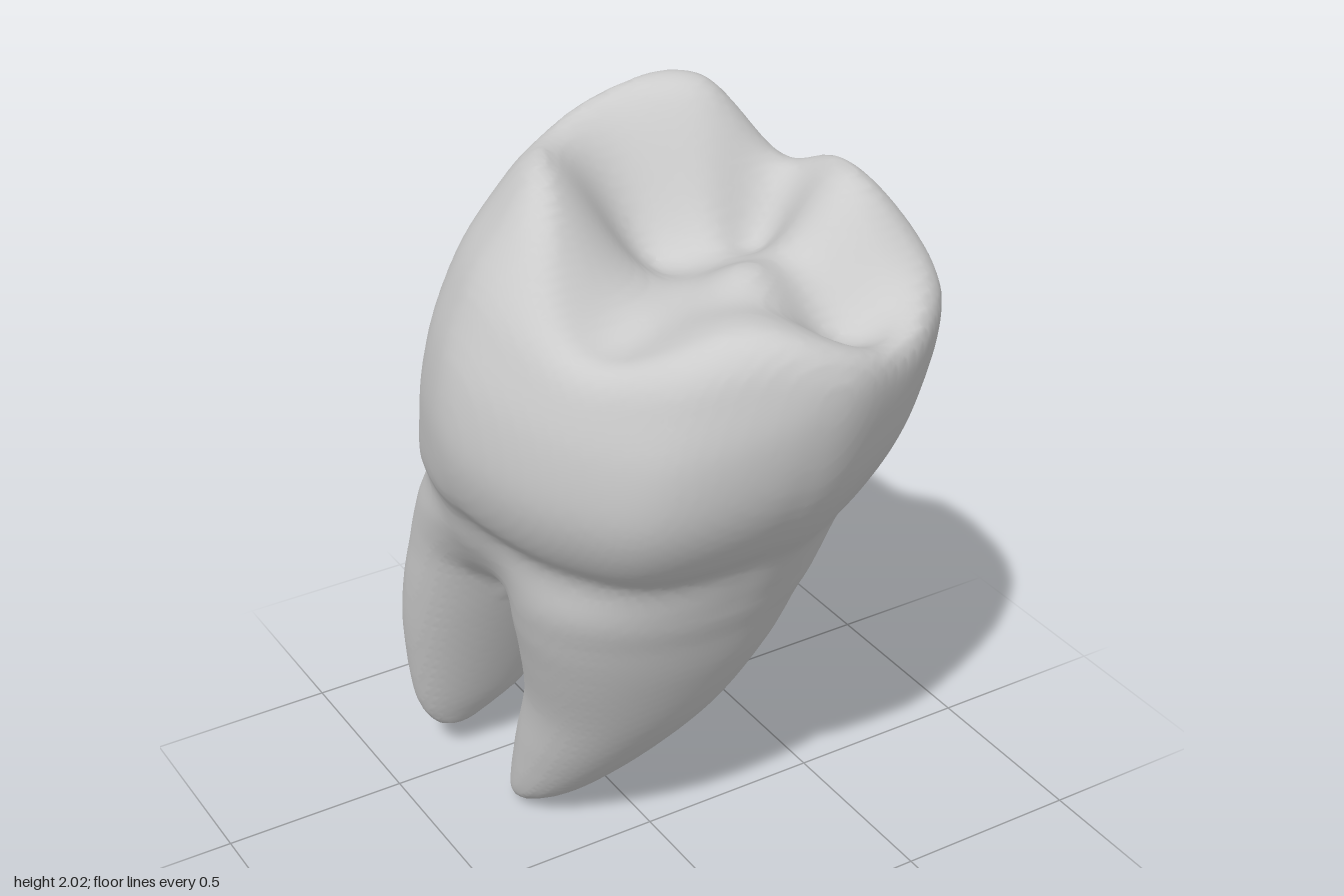
import * as THREE from 'three';

// Turn rows of measurements (first entry y) into a smooth lookup by height
function sections(rows) {
  const at = (i) => rows[Math.min(Math.max(i, 0), rows.length - 1)];
  const fine = [];
  for (let i = 0; i < rows.length - 1; i++) {
    for (let t = 0; t < 1; t += 0.125) {
      fine.push(at(i).map((p1, c) => {
        const p0 = at(i - 1)[c], p2 = at(i + 1)[c], p3 = at(i + 2)[c];
        return p1 + 0.5 * t * (p2 - p0 + t * (2 * p0 - 5 * p1 + 4 * p2 - p3 + t * (3 * (p1 - p2) + p3 - p0)));
      }));
    }
  }
  fine.push(at(rows.length));
  return (y) => {
    let i = 0;
    while (i < fine.length - 2 && fine[i + 1][0] < y) i++;
    const a = fine[i], b = fine[i + 1];
    const t = THREE.MathUtils.clamp((y - a[0]) / (b[0] - a[0]), 0, 1);
    const [, x0, x1, z0, z1, skew] = a.map((v, c) => v + (b[c] - v) * t);
    return {
      cx: (x0 + x1) / 2, rx: (x1 - x0) / 2, cz: (z0 + z1) / 2, rz: (z1 - z0) / 2, skew,
      beyond: Math.max(fine[0][0] - y, y - fine[fine.length - 1][0]),
    };
  };
}

// Rows: y, x min, x max, z min, z max, sideways skew
const frontRoot = sections([
  [0, -0.24, -0.16, -0.315, -0.26, 0],
  [0.04, -0.275, -0.1, -0.325, -0.19, 0],
  [0.11, -0.287, -0.03, -0.33, -0.1, 0],
  [0.26, -0.297, 0.1, -0.32, 0.035, 0],
  [0.45, -0.31, 0.225, -0.28, 0.175, 0],
  [0.65, -0.36, 0.31, -0.24, 0.285, 0],
  [0.8, -0.4, 0.355, -0.22, 0.35, 0],
  [0.95, -0.42, 0.395, -0.2, 0.405, 0],
  [1.15, -0.38, 0.36, -0.15, 0.4, 0],
]);
const backRoot = sections([
  [0.09, -0.33, -0.24, -0.605, -0.55, 0],
  [0.14, -0.37, -0.15, -0.65, -0.52, 0],
  [0.23, -0.4, -0.05, -0.68, -0.47, 0],
  [0.44, -0.435, 0.04, -0.68, -0.375, 0],
  [0.6, -0.45, 0.1, -0.655, -0.3, 0],
  [0.76, -0.455, 0.17, -0.61, -0.22, 0],
  [0.97, -0.45, 0.23, -0.535, -0.1, 0],
  [1.18, -0.34, 0.2, -0.42, 0, 0],
]);
const crown = sections([
  [0.72, -0.22, 0.08, -0.36, -0.12, 0.02],
  [0.82, -0.36, 0.25, -0.48, 0.18, 0.06],
  [0.95, -0.44, 0.37, -0.525, 0.375, 0.07],
  [1.08, -0.485, 0.45, -0.51, 0.475, 0.05],
  [1.18, -0.54, 0.49, -0.48, 0.555, 0.03],
  [1.3, -0.57, 0.535, -0.45, 0.625, 0.01],
  [1.42, -0.577, 0.56, -0.435, 0.668, 0],
  [1.56, -0.555, 0.577, -0.415, 0.692, 0],
  [1.68, -0.51, 0.572, -0.395, 0.685, 0],
  [1.77, -0.465, 0.545, -0.375, 0.66, -0.01],
  [1.87, -0.39, 0.49, -0.35, 0.59, -0.03],
  [1.95, -0.32, 0.43, -0.325, 0.45, -0.04],
  [2.05, -0.24, 0.36, -0.27, 0.25, -0.04],
]);

// Outline of the crown as a radius for each angle, in units of its half width and depth
const BINS = 120;
const outline = new Array(BINS).fill(1);
const outlineCurve = new THREE.CatmullRomCurve3([
  [0.575, 0.2], [0.53, 0.42], [0.4, 0.55], [0.25, 0.63], [0.07, 0.69], [-0.1, 0.67],
  [-0.33, 0.57], [-0.45, 0.42], [-0.53, 0.25], [-0.575, 0.05], [-0.54, -0.12], [-0.48, -0.24],
  [-0.33, -0.35], [-0.15, -0.42], [0.08, -0.435], [0.28, -0.395], [0.45, -0.2], [0.545, 0],
].map(([x, z]) => new THREE.Vector3(x / 0.575, 0, (z - 0.125) / 0.565)), true);
const angleToBin = (u, v) => ((Math.atan2(v, u) / (2 * Math.PI) + 1) % 1) * BINS;
for (let i = 0; i < 3000; i++) {
  const p = outlineCurve.getPoint(i / 3000);
  outline[Math.round(angleToBin(p.x, p.z)) % BINS] = Math.hypot(p.x, p.z);
}
function crownShape(u, v) {
  const a = angleToBin(u, v), i = Math.floor(a) % BINS;
  return Math.hypot(u, v) / THREE.MathUtils.lerp(outline[i], outline[(i + 1) % BINS], a - Math.floor(a));
}
const superellipse = (u, v, e) => (Math.abs(u) ** e + Math.abs(v) ** e) ** (1 / e);
const backRootShape = (u, v) => superellipse(u, v, 2.15);
// The front root is squarer at its rear left corner
const frontRootShape = (u, v) => superellipse(u, v, u > 0 && v < 0 ? 3.6 : 2.15);

// Cusps (raised) and grooves (sunk) of the chewing surface: x, z, height, radius
const bumps = [
  [0.25, -0.17, 0.31, 0.2], [-0.27, -0.08, 0.25, 0.22], [-0.1, -0.3, 0.16, 0.2],
  [0.08, -0.33, 0.17, 0.2], [0.42, 0.22, 0.2, 0.18], [0.5, 0.05, 0.1, 0.12],
  [-0.08, 0.55, 0.1, 0.22], [0.08, 0.3, 0.08, 0.12], [-0.37, 0.1, 0.11, 0.17],
  [0, -0.02, -0.09, 0.13], [0.25, 0.07, -0.09, 0.09], [0.22, 0.47, -0.08, 0.13],
  [-0.3, 0.32, -0.03, 0.12],
];
function chewingHeight(x, z) {
  let h = 1.66;
  for (const [bx, bz, amount, r] of bumps) {
    h += amount * Math.exp(-((x - bx) ** 2 + (z - bz) ** 2) / (r * r));
  }
  return h;
}

// Signed distance from one cross-section, measured along the ray from its centre
function sectionDistance(s, shape, x, z) {
  const dz = z - s.cz, dx = x - s.cx - s.skew * dz / s.rz;
  const k = Math.max(shape(dx / s.rx, dz / s.rz), 1e-4);
  const length = Math.max(Math.hypot(dx, dz), 1e-5);
  return Math.max(length * (1 - 1 / k), s.beyond);
}
function smoothMin(a, b, k) {
  const h = Math.max(k - Math.abs(a - b), 0);
  return Math.min(a, b) - h * h / (4 * k);
}

// Mesh the zero surface of a field: one vertex per crossed cell, one quad per crossed edge
function surface(min, dims, cell, layerField) {
  const stride = [1, dims[0], dims[0] * dims[1]];
  const values = new Float32Array(dims[0] * dims[1] * dims[2]);
  for (let j = 0; j < dims[1]; j++) {
    const field = layerField(min[1] + j * cell);
    for (let k = 0; k < dims[2]; k++) {
      for (let i = 0; i < dims[0]; i++) {
        values[i + j * stride[1] + k * stride[2]] = field(min[0] + i * cell, min[2] + k * cell);
      }
    }
  }
  const vertexOf = new Map(), positions = [], index = [];
  for (let n = 0; n < values.length - stride[2] - stride[1] - 1; n++) {
    const base = [n % dims[0], Math.floor(n / stride[1]) % dims[1], Math.floor(n / stride[2])];
    const sum = [0, 0, 0];
    let count = 0;
    for (let axis = 0; axis < 3; axis++) {
      const b = (axis + 1) % 3, c = (axis + 2) % 3;
      for (let corner = 0; corner < 4; corner++) {
        const ob = corner & 1, oc = corner >> 1;
        const p = n + ob * stride[b] + oc * stride[c];
        const v0 = values[p], v1 = values[p + stride[axis]];
        if ((v0 < 0) === (v1 < 0)) continue;
        sum[axis] += v0 / (v0 - v1);
        sum[b] += ob;
        sum[c] += oc;
        count++;
      }
    }
    if (!count) continue;
    vertexOf.set(n, positions.length / 3);
    for (let c = 0; c < 3; c++) positions.push(min[c] + (base[c] + sum[c] / count) * cell);
  }
  for (const n of vertexOf.keys()) {
    for (let axis = 0; axis < 3; axis++) {
      const inside = values[n] < 0;
      if (inside === values[n + stride[axis]] < 0) continue;
      const sb = stride[(axis + 1) % 3], sc = stride[(axis + 2) % 3];
      const [a, b, c, d] = [n, n - sb, n - sb - sc, n - sc].map((m) => vertexOf.get(m));
      if (inside) index.push(a, b, c, a, c, d);
      else index.push(a, c, b, a, d, c);
    }
  }
  const geometry = new THREE.BufferGeometry();
  geometry.setAttribute('position', new THREE.Float32BufferAttribute(positions, 3));
  geometry.setIndex(index);
  geometry.computeVertexNormals();
  return geometry;
}

export function createModel() {
  // Crown and both roots melt together; the chewing surface trims the top
  const geometry = surface([-0.65, -0.05, -0.75], [66, 107, 76], 0.02, (y) => {
    const front = frontRoot(y), back = backRoot(y);
    return (x, z) => {
      const roots = smoothMin(
        sectionDistance(front, frontRootShape, x, z), sectionDistance(back, backRootShape, x, z), 0.06);
      // The crown bulges lower at its front right corner
      const top = crown(y + 0.5 * Math.max(-x, 0) * Math.max(z, 0));
      const body = smoothMin(roots, sectionDistance(top, crownShape, x, z), 0.08);
      return -smoothMin(-body, 0.7 * (chewingHeight(x, z) - y), 0.06);
    };
  });
  const tooth = new THREE.Mesh(geometry, new THREE.MeshStandardMaterial({ color: 0xcccccc }));
  tooth.name = 'toothCrownAndRoots';
  const group = new THREE.Group();
  group.name = 'tooth';
  group.add(tooth);
  return group;
}
